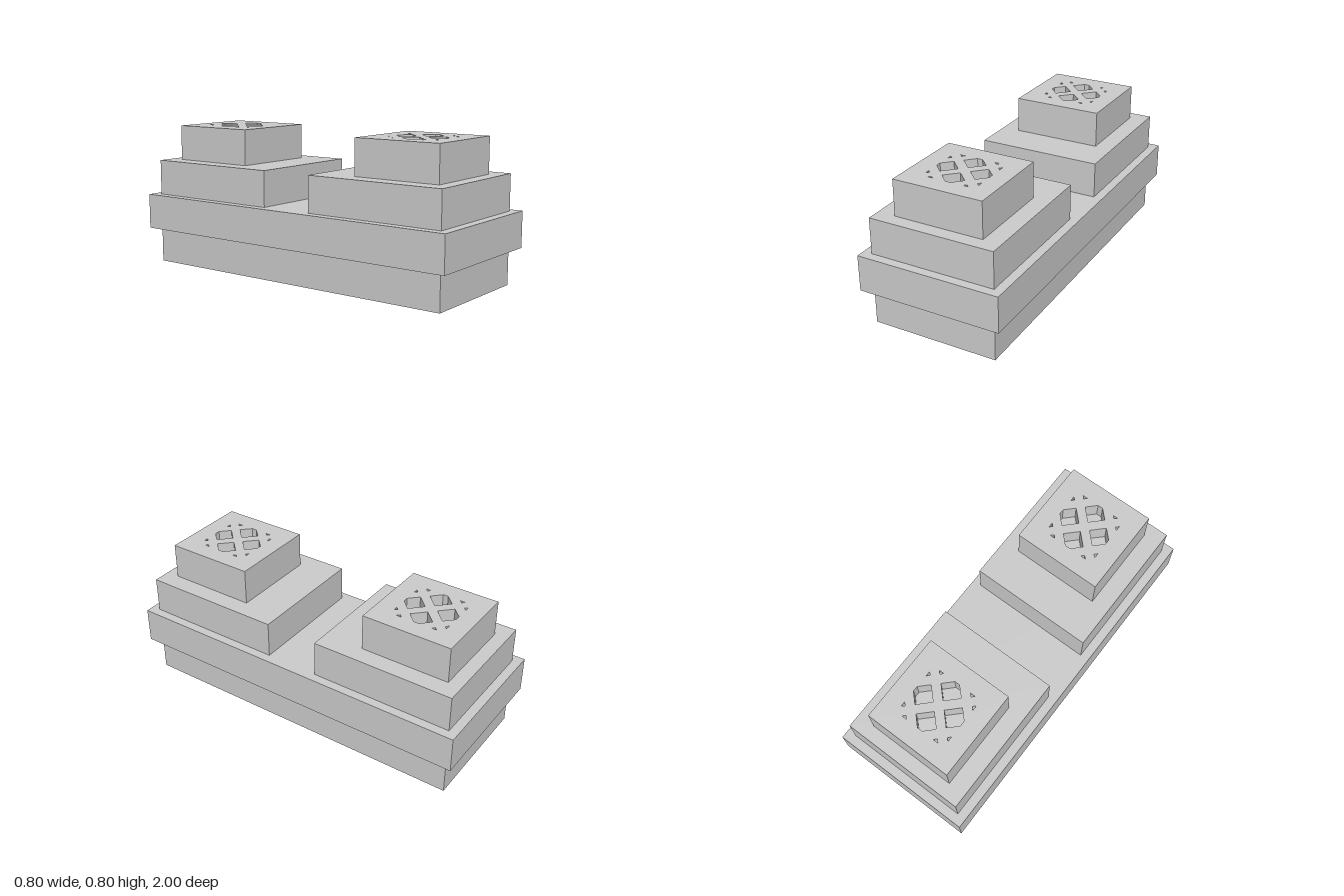
import * as THREE from 'three';

const material = new THREE.MeshStandardMaterial({ color: 0xcccccc, flatShading: true });

function addMesh(parent, name, geometry, x, y, z) {
  const mesh = new THREE.Mesh(geometry, material);
  mesh.name = name;
  mesh.position.set(x, y, z);
  parent.add(mesh);
}

// Openings left between crossing diagonal bars inside a square vent
function ventHoles() {
  const half = 0.15, pitch = 0.1, r = 0.0646;
  const clip = r - (half - pitch);
  const tip = 2 * pitch - r;
  const outlines = [
    // large diamond with its outer tip cut off by the vent edge
    [[pitch - r, 0], [pitch, -r], [half, -clip], [half, clip], [pitch, r]],
  ];
  // small triangles along the vent edge
  for (const s of [-1, 1]) {
    const w = half - tip;
    outlines.push([[tip, s * pitch], [half, s * pitch - w], [half, s * pitch + w]]);
  }
  const holes = [];
  for (let k = 0; k < 4; k++) {
    const turn = k * Math.PI / 2;
    for (const outline of outlines) {
      const points = outline.map(([x, y]) =>
        new THREE.Vector2(x, y).rotateAround(new THREE.Vector2(), turn));
      holes.push(new THREE.Path(points));
    }
  }
  return holes;
}

// Square block pierced from above by the vent openings
function ventBlock(size, height) {
  const h = size / 2;
  const shape = new THREE.Shape([[-h, -h], [h, -h], [h, h], [-h, h]]
    .map(([x, y]) => new THREE.Vector2(x, y)));
  shape.holes = ventHoles();
  const geometry = new THREE.ExtrudeGeometry(shape, { depth: height, bevelEnabled: false });
  return geometry.rotateX(-Math.PI / 2);
}

export function createModel() {
  const model = new THREE.Group();
  model.name = 'twinVentBase';

  // Stacked base slabs
  addMesh(model, 'foot', new THREE.BoxGeometry(0.7, 0.2, 1.9), 0, 0.1, 0);
  addMesh(model, 'deck', new THREE.BoxGeometry(0.8, 0.2, 2), 0, 0.3, 0);

  // Stepped tower with a grille at each end
  for (const [name, side] of [['frontTower', 1], ['backTower', -1]]) {
    const tower = new THREE.Group();
    tower.name = name;
    addMesh(tower, 'towerStep', new THREE.BoxGeometry(0.7, 0.2, 0.8), 0, 0.5, side * 0.55);
    addMesh(tower, 'ventBlock', ventBlock(0.5, 0.2), 0, 0.6, side * 0.625);
    // Floor beneath the openings
    const floor = new THREE.PlaneGeometry(0.32, 0.32).rotateX(-Math.PI / 2);
    addMesh(tower, 'ventFloor', floor, 0, 0.7, side * 0.625);
    model.add(tower);
  }
  return model;
}
